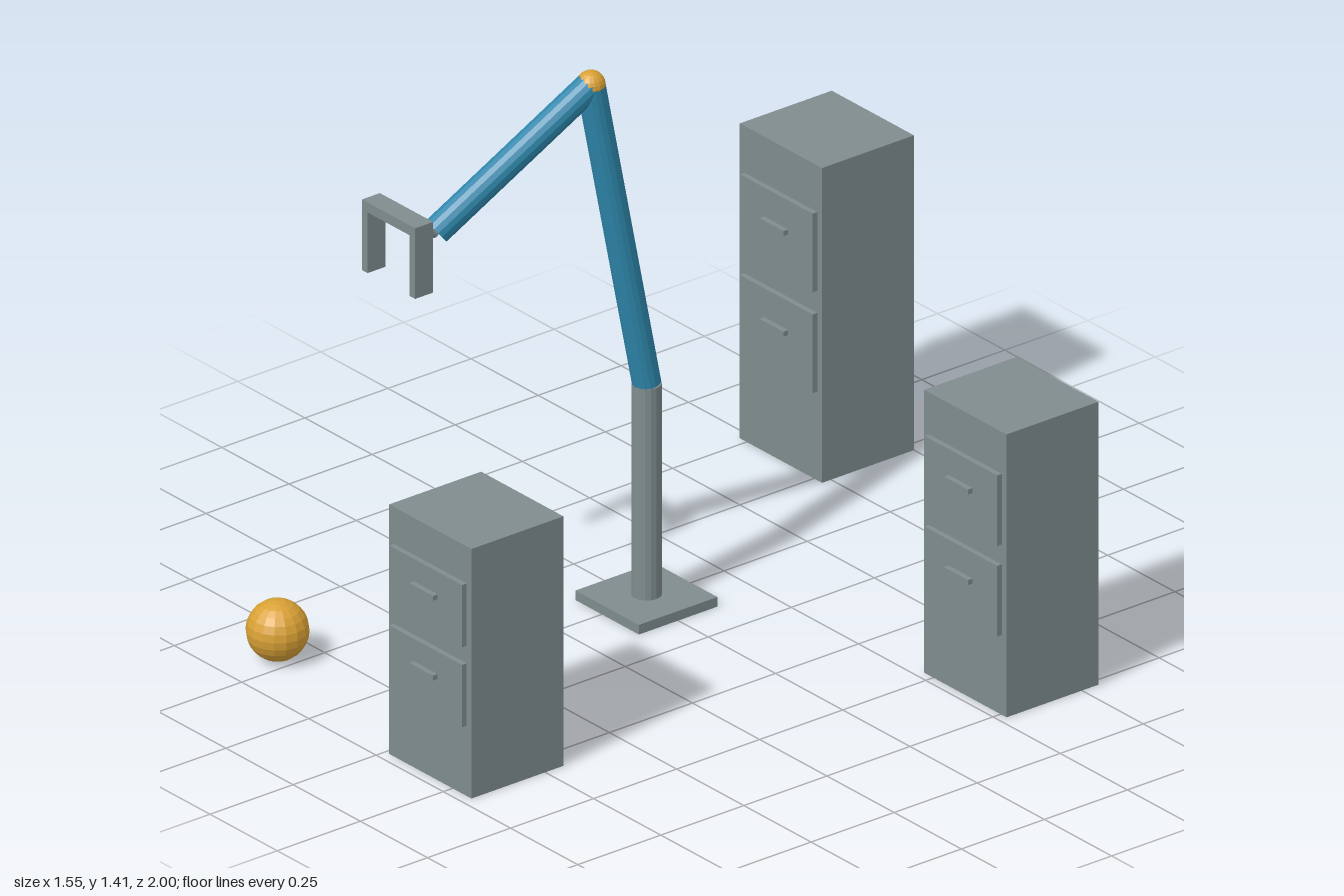
import * as THREE from 'three';

const make = (name, color) => {
  const m = new THREE.MeshStandardMaterial({ color });
  m.name = name;
  return m;
};

export function createModel() {
  const model = new THREE.Group();
  const grey = make('steel grey', 0x7f8c8d);
  const blue = make('arm blue', 0x2e86ab);
  const amber = make('amber', 0xd9a136);
  for (const m of [grey, blue, amber]) m.flatShading = true;

  const add = (parent, name, geometry, material, x, y, z) => {
    const mesh = new THREE.Mesh(geometry, material);
    mesh.name = name;
    mesh.position.set(x, y, z);
    parent.add(mesh);
    return mesh;
  };
  const box = (parent, name, w, h, d, x, y, z) =>
    add(parent, name, new THREE.BoxGeometry(w, h, d), grey, x, y, z);
  const ball = (parent, name, r, x, y, z) =>
    add(parent, name, new THREE.SphereGeometry(r, 16, 12), amber, x, y, z);

  // Round bar between two points
  const rod = (parent, name, a, b, r, material) => {
    const dir = b.clone().sub(a);
    const mid = a.clone().add(b).multiplyScalar(0.5);
    const mesh = add(parent, name, new THREE.CylinderGeometry(r, r, dir.length(), 16), material, mid.x, mid.y, mid.z);
    mesh.quaternion.setFromUnitVectors(new THREE.Vector3(0, 1, 0), dir.normalize());
  };

  // Filing cabinets: centre x, front z, height
  const depth = 0.277;
  for (const [x, z, h] of [[-0.623, -0.723, 0.82], [0.619, -0.273, 0.737], [0.167, 0.972, 0.65]]) {
    const cabinet = new THREE.Group();
    cabinet.name = 'cabinet';
    cabinet.position.set(x, 0, z);
    box(cabinet, 'cabinetBody', 0.306, h, depth, 0, h / 2, -depth / 2);
    for (const level of [0.407, 0.727]) {
      box(cabinet, 'drawerFront', 0.271, h * 0.25, 0.014, 0, h * level, 0.007);
      box(cabinet, 'drawerHandle', 0.089, 0.013, 0.014, 0, h * (level + 0.025), 0.021);
    }
    model.add(cabinet);
  }

  // Robot arm: base, post, two blue links and the joint between them
  const arm = new THREE.Group();
  arm.name = 'robotArm';
  const foot = new THREE.Vector3(-0.229, 0.02, 0);
  const shoulder = new THREE.Vector3(-0.229, 0.575, 0);
  const elbow = new THREE.Vector3(-0.276, 1.374, 0.13);
  const wrist = new THREE.Vector3(-0.405, 1.055, 0.49);
  const hand = new THREE.Vector3(-0.438, 1.108, 0.575);
  box(arm, 'basePlate', 0.236, 0.025, 0.236, -0.23, 0.0125, 0);
  rod(arm, 'post', foot, shoulder, 0.036, grey);
  rod(arm, 'upperArm', shoulder, elbow, 0.035, blue);
  rod(arm, 'forearm', elbow, wrist, 0.035, blue);
  ball(arm, 'elbowJoint', 0.0355, elbow.x, elbow.y, elbow.z);

  // Gripper
  rod(arm, 'wristRod', wrist, hand, 0.018, grey);
  box(arm, 'gripperBar', 0.198, 0.026, 0.054, -0.439, 1.109, 0.58);
  for (const side of [-1, 1]) {
    box(arm, 'gripperFinger', 0.021, 0.158, 0.054, -0.439 + side * 0.0885, 1.017, 0.58);
  }
  model.add(arm);

  // Loose ball on the floor
  ball(model, 'ball', 0.0755, -0.543, 0.0765, 0.857);

  return model;
}
